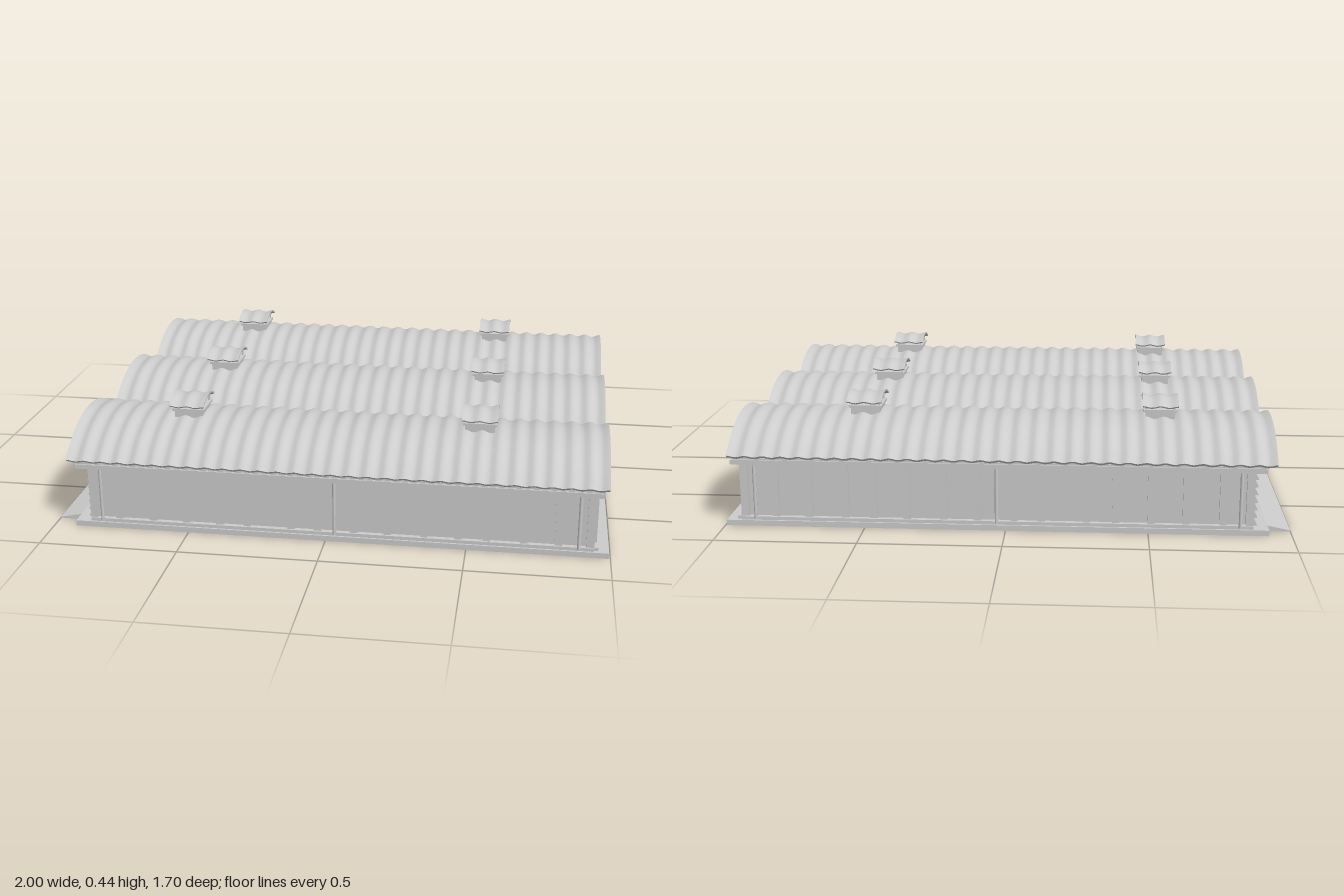
import * as THREE from 'three';
import { toCreasedNormals } from 'three/addons/utils/BufferGeometryUtils.js';

const mat = new THREE.MeshStandardMaterial({ color: 0xcccccc });

function add(parent, name, geo, x = 0, y = 0, z = 0) {
  const mesh = new THREE.Mesh(geo, mat);
  mesh.name = name;
  mesh.position.set(x, y, z);
  parent.add(mesh);
  return mesh;
}

// Box given by its minimum and maximum on each axis
function box(parent, name, x0, x1, y0, y1, z0, z1) {
  return add(parent, name, new THREE.BoxGeometry(x1 - x0, y1 - y0, z1 - z0),
    (x0 + x1) / 2, (y0 + y1) / 2, (z0 + z1) / 2);
}

// Height of a circular arch above its springing line
function archHeight(z, half, rise) {
  const r = (half * half + rise * rise) / (2 * rise);
  return Math.sqrt(r * r - z * z) - (r - rise);
}

// Thin arched sheet running along x, corrugated across its length
function vault({ length, half, rise, thick, waves, amp, arcSegs, waveSegs = 6 }) {
  const n = waves * waveSegs, m = arcSegs, ring = 2 * (m + 1);
  const r = (half * half + rise * rise) / (2 * rise);
  const edge = Math.asin(half / r);
  const pos = [], idx = [];
  for (let i = 0; i <= n; i++) {
    const wave = amp * Math.cos((i / waveSegs) * Math.PI * 2);
    for (let k = 0; k < ring; k++) {
      const outer = k <= m;
      const j = outer ? k : ring - 1 - k;
      const a = -edge + (2 * edge * j) / m;
      const rad = r + wave - (outer ? 0 : thick);
      pos.push((i / n - 0.5) * length, rad * Math.cos(a) - (r - rise), rad * Math.sin(a));
    }
  }
  for (let i = 0; i < n; i++) {
    for (let k = 0; k < ring; k++) {
      const a = i * ring + k, c = i * ring + (k + 1) % ring;
      idx.push(a, c, a + ring, c, c + ring, a + ring);
    }
  }
  // end faces across the sheet thickness
  for (let j = 0; j < m; j++) {
    const o = j, o2 = j + 1, u = ring - 1 - j, u2 = ring - 2 - j, e = n * ring;
    idx.push(e + u, e + o, e + o2, e + u, e + o2, e + u2);
    idx.push(u, o2, o, u, u2, o2);
  }
  const geo = new THREE.BufferGeometry();
  geo.setAttribute('position', new THREE.Float32BufferAttribute(pos, 3));
  geo.setIndex(idx);
  return toCreasedNormals(geo, 0.55);
}

const HALF = 0.28, RISE = 0.11, SPRING = 0.255;
const X0 = -0.865, X1 = 0.942, ZW = 0.815;
const BAYS = [-0.56, 0, 0.56];

function makeVent() {
  const vent = new THREE.Group();
  vent.name = 'roofVent';
  box(vent, 'ventCurb', -0.053, 0.053, 0.34, 0.385, -0.055, 0.055);
  box(vent, 'ventFlange', -0.06, 0.06, 0.383, 0.392, -0.062, 0.062);
  for (const sx of [-1, 1]) for (const sz of [-1, 1])
    box(vent, 'ventPost', sx * 0.05 - 0.003, sx * 0.05 + 0.003, 0.39, 0.421,
      sz * 0.052 - 0.003, sz * 0.052 + 0.003);
  add(vent, 'ventCap', vault({ length: 0.128, half: 0.083, rise: 0.024, thick: 0.006,
    waves: 2, amp: 0.004, arcSegs: 10 }), 0, 0.408, 0);
  return vent;
}

export function createModel() {
  const model = new THREE.Group();
  model.name = 'vaultedGreenhouse';

  // Foundation slab and entrance ramp
  box(model, 'foundation', -0.92, 0.995, 0, 0.02, -0.84, 0.84);
  const wedge = new THREE.Shape([[-1, 0], [-0.9, 0], [-0.9, 0.02], [-0.92, 0.02], [-1, 0.004]]
    .map(p => new THREE.Vector2(...p)));
  add(model, 'ramp', new THREE.ExtrudeGeometry(wedge, { depth: 1.57, bevelEnabled: false }), 0, 0, -0.785);

  // Wall body
  box(model, 'walls', X0, X1, 0.02, SPRING, -ZW, ZW);

  // Corrugated roof vaults with gable infill and vents
  const roofGeo = vault({ length: 1.925, half: HALF, rise: RISE, thick: 0.011,
    waves: 30, amp: 0.005, arcSegs: 24 });
  const gable = new THREE.Shape();
  gable.moveTo(-HALF + 0.01, -0.01);
  gable.lineTo(HALF - 0.01, -0.01);
  for (let i = 0; i <= 24; i++) {
    const z = (HALF - 0.01) * (1 - i / 12);
    gable.lineTo(z, archHeight(z, HALF, RISE) - 0.008);
  }
  const gableGeo = new THREE.ExtrudeGeometry(gable, { depth: 0.01, bevelEnabled: false });
  for (const z of BAYS) {
    add(model, 'roofVault', roofGeo, 0.022, SPRING, z);
    for (const x of [X0, X1 - 0.01]) {
      add(model, 'gable', gableGeo, x, SPRING, z).rotation.y = Math.PI / 2;
    }
    for (const x of [-0.543, 0.526]) {
      const vent = makeVent();
      vent.position.set(x, 0, z);
      model.add(vent);
    }
  }

  // Valley gutters between the vaults
  for (const z of [-HALF, HALF])
    box(model, 'valleyGutter', -0.93, 0.975, SPRING - 0.006, SPRING + 0.004, z - 0.012, z + 0.012);

  // Wall ribs along both long sides, gutters, sills and downpipes
  const ribsX = [-0.76, -0.633, -0.51, -0.387, -0.286, -0.125, -0.03, 0.1, 0.22, 0.35, 0.47, 0.57, 0.7, 0.82];
  const pipeGeo = new THREE.CylinderGeometry(0.006, 0.006, 0.21, 10);
  for (const s of [-1, 1]) {
    const strip = (name, x0, x1, y0, y1, za, zb) =>
      box(model, name, x0, x1, y0, y1, Math.min(s * za, s * zb), Math.max(s * za, s * zb));
    for (const x of ribsX) strip('sideRib', x - 0.013, x + 0.013, 0.02, 0.225, ZW, 0.826);
    for (const x of [X0 + 0.012, X1 - 0.012])
      strip('cornerPost', x - 0.014, x + 0.014, 0.02, 0.235, ZW - 0.02, 0.827);
    strip('sideSill', X0, X1, 0.02, 0.032, ZW, 0.833);
    strip('eaveBand', X0, X1, 0.222, 0.24, ZW, 0.828);
    // open-topped eave gutter
    strip('gutterFloor', -0.905, 0.97, 0.229, 0.234, 0.822, 0.85);
    strip('gutterLip', -0.905, 0.97, 0.229, 0.246, 0.845, 0.85);
    strip('gutterBack', -0.905, 0.97, 0.229, 0.246, 0.822, 0.826);
    for (const x of [-0.82, 0.032, 0.89])
      add(model, 'downpipe', pipeGeo, x, 0.13, s * 0.833);
  }

  // Ribbed end wall
  const ribsZ = [0.77, 0.65, 0.53, 0.43, 0.32, 0.145, -0.03, -0.2, -0.32, -0.43, -0.53, -0.65, -0.77];
  for (const z of ribsZ) box(model, 'endRib', X1, X1 + 0.011, 0.02, 0.225, z - 0.012, z + 0.012);
  box(model, 'endBand', X1, X1 + 0.012, 0.218, 0.265, -0.82, 0.82);
  box(model, 'endSill', X1, X1 + 0.016, 0.02, 0.032, -0.825, 0.825);

  // Louvred end wall above the ramp
  const slat = new THREE.Shape([[0, 0], [0, 0.026], [-0.004, 0.026], [-0.016, 0.004], [-0.016, 0]]
    .map(p => new THREE.Vector2(...p)));
  const slatGeo = new THREE.ExtrudeGeometry(slat, { depth: 1.6, bevelEnabled: false });
  for (let i = 0; i < 7; i++) add(model, 'louvre', slatGeo, X0, 0.024 + i * 0.028, -0.8);
  box(model, 'louvreBand', X0 - 0.012, X0, 0.22, 0.265, -0.82, 0.82);

  return model;
}
